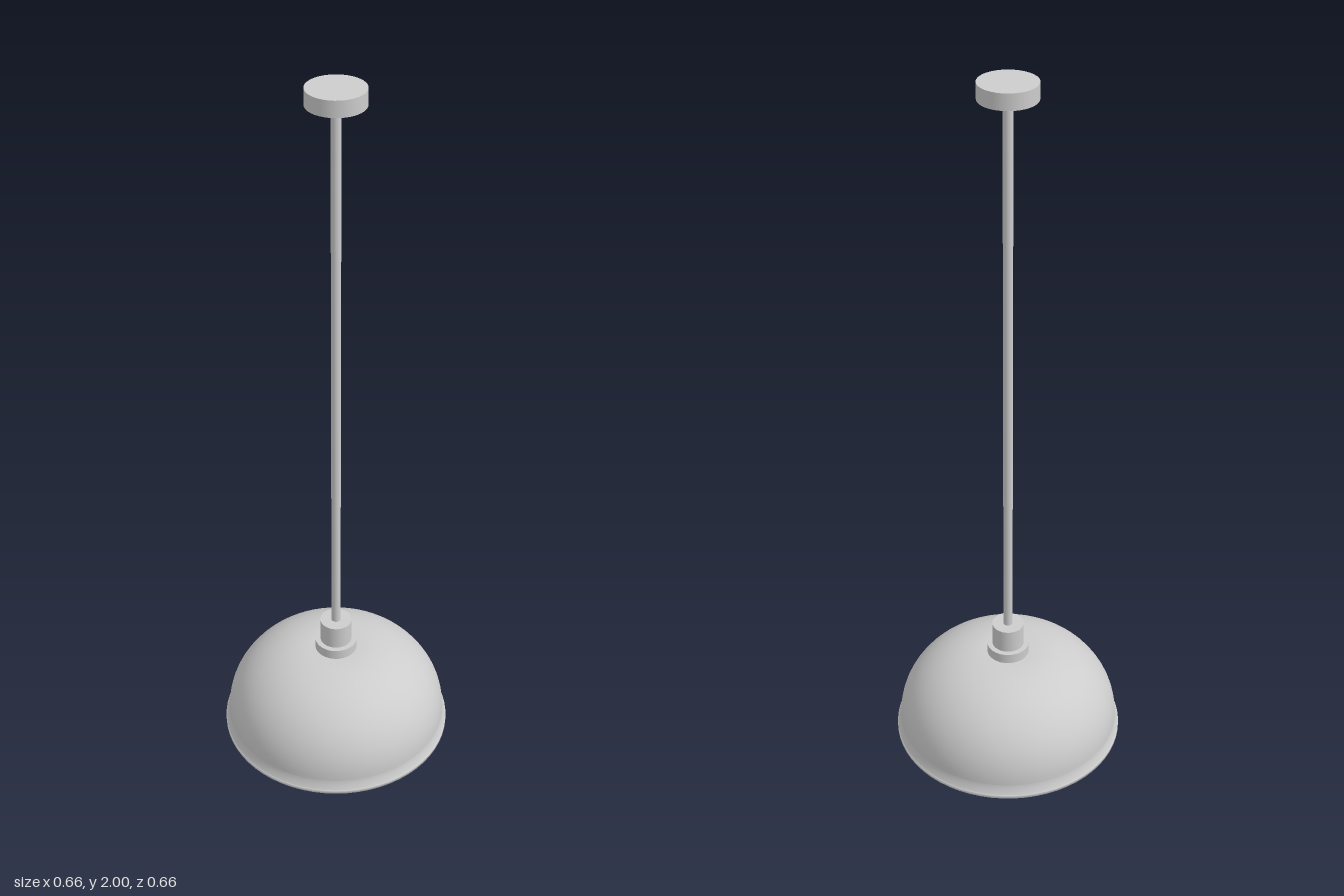
import * as THREE from 'three';

const SEGMENTS = 64;

export function createModel() {
  const model = new THREE.Group();
  model.name = 'pendantLamp';
  const metal = new THREE.MeshStandardMaterial({ color: 0xcccccc });
  metal.name = 'light grey';
  const shadeMetal = metal.clone();
  shadeMetal.side = THREE.DoubleSide;

  function add(name, geometry, material = metal) {
    const mesh = new THREE.Mesh(geometry, material);
    mesh.name = name;
    model.add(mesh);
    return mesh;
  }

  // Upright cylinder given by its bottom and top heights
  function post(name, radius, bottom, top) {
    const geometry = new THREE.CylinderGeometry(radius, radius, top - bottom, 40);
    add(name, geometry).position.y = (bottom + top) / 2;
  }

  function lathe(name, points, material) {
    const profile = points.map(([r, y]) => new THREE.Vector2(r, y));
    add(name, new THREE.LatheGeometry(profile, SEGMENTS), material);
  }

  // Ceiling mount, rod and socket
  post('ceilingCanopy', 0.076, 1.957, 2);
  post('canopyCollar', 0.024, 1.936, 1.957);
  post('rod', 0.013, 0.36, 1.94);
  post('socketCap', 0.045, 0.3, 0.37);
  post('socketRing', 0.06, 0.266, 0.3);

  // Dome profile: flat crown rolling over into an elliptical side
  function dome(inset) {
    const points = [[0, 0.27 - inset]];
    for (let i = 0; i <= 20; i++) {
      const a = (1 - i / 20) * Math.PI / 2;
      points.push([0.07 + (0.247 - inset) * Math.cos(a), 0.04 + (0.23 - inset) * Math.sin(a)]);
    }
    return points;
  }
  lathe('shadeOutside', dome(0), shadeMetal);
  lathe('shadeInside', dome(0.005), shadeMetal);

  // Flared skirt and thin rolled lip
  lathe('shadeSkirt', [[0.317, 0.04], [0.319, 0.025], [0.326, 0.011]], shadeMetal);
  lathe('shadeSkirtInside', [[0.312, 0.04], [0.314, 0.025], [0.319, 0.011]], shadeMetal);
  lathe('shadeLip', [[0.319, 0.011], [0.328, 0.011], [0.328, 0], [0.319, 0], [0.319, 0.011]], shadeMetal);

  // Bulb holder and round bulb with a tapering neck
  post('bulbHolder', 0.024, 0.17, 0.266);
  const bulb = [];
  for (let i = 0; i <= 16; i++) {
    const a = -Math.PI / 2 + (i / 16) * 2.65;
    bulb.push([Math.max(0, 0.047 * Math.cos(a)), 0.077 + 0.047 * Math.sin(a)]);
  }
  bulb.push([0.017, 0.135], [0.018, 0.175]);
  lathe('bulb', bulb);

  return model;
}
